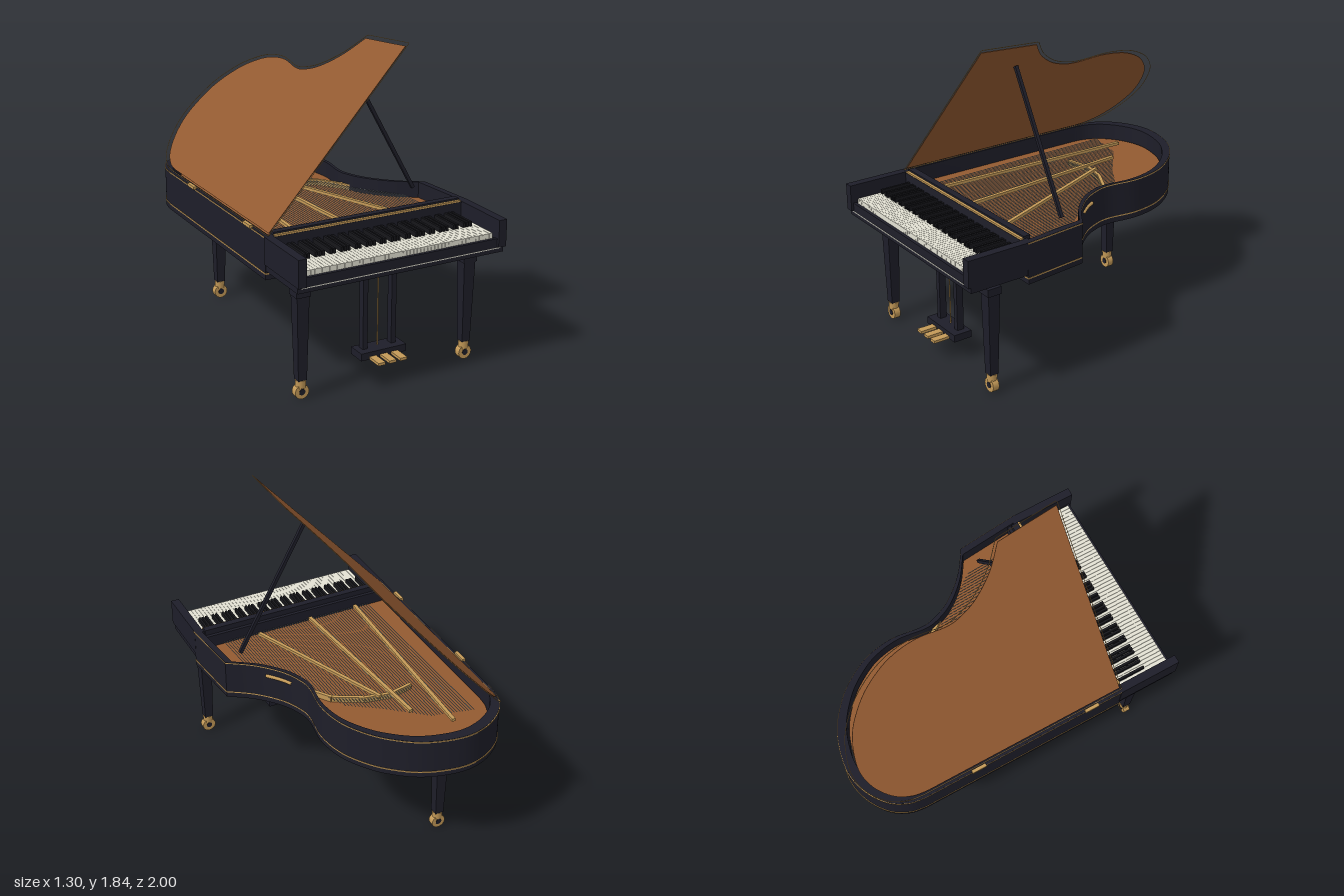
import * as THREE from 'three';
import { toCreasedNormals } from 'three/addons/utils/BufferGeometryUtils.js';

const mat = (name, color) => {
  const m = new THREE.MeshStandardMaterial({ color });
  m.name = name;
  return m;
};

export function createModel() {
  const model = new THREE.Group();
  model.name = 'grandPiano';
  const ebony = mat('blackLacquer', 0x1e1e29);
  const wood = mat('brownWood', 0x935a31);
  const brass = mat('brass', 0xc49a58);
  const ivory = mat('ivory', 0xe4e2d4);
  const blackKeyMat = mat('blackKey', 0x16161a);
  const steel = mat('steelString', 0x98a2a4);

  const add = (name, geo, material, parent = model) => {
    const m = new THREE.Mesh(geo, material);
    m.name = name;
    parent.add(m);
    return m;
  };
  // box given by its limits
  const box = (name, material, x0, x1, y0, y1, z0, z1, parent) => {
    const g = new THREE.BoxGeometry(x1 - x0, y1 - y0, z1 - z0);
    g.translate((x0 + x1) / 2, (y0 + y1) / 2, (z0 + z1) / 2);
    return add(name, g, material, parent);
  };
  // square bar between two points
  const bar = (name, material, a, b, w, h, parent) => {
    const m = add(name, new THREE.BoxGeometry(w, h, a.distanceTo(b)), material, parent);
    m.position.copy(a).add(b).multiplyScalar(0.5);
    m.lookAt(b);
    return m;
  };
  const V = (x, y, z) => new THREE.Vector3(x, y, z);

  // Plan outline of the case; shape y is -z
  const plan = new THREE.Shape();
  plan.moveTo(-0.642, -0.62);
  plan.lineTo(0.645, -0.62);
  plan.lineTo(0.607, -0.23);
  plan.splineThru([[0.465, -0.13], [0.35, 0], [0.293, 0.12], [0.278, 0.22], [0.298, 0.4],
    [0.27, 0.57], [0.2, 0.71], [0.1, 0.83], [-0.06, 0.943], [-0.27, 0.997], [-0.43, 0.97],
    [-0.56, 0.885], [-0.625, 0.78], [-0.642, 0.68]].map(p => new THREE.Vector2(...p)));
  const outline = plan.getPoints(6);
  const scaled = (s, cx, cy) => outline.map(p =>
    new THREE.Vector2(cx + (p.x - cx) * s, cy + (p.y - cy) * s));
  const slab = (shape, y0, y1) => {
    const g = new THREE.ExtrudeGeometry(shape, { depth: y1 - y0, bevelEnabled: false });
    g.rotateX(-Math.PI / 2);
    g.translate(0, y0, 0);
    return toCreasedNormals(g, 0.4);
  };
  const ring = (name, outer, hole, y0, y1, material) => {
    const shape = new THREE.Shape(outer);
    shape.holes.push(new THREE.Path(hole));
    return add(name, slab(shape, y0, y1), material);
  };

  // Case, open below the soundboard, with thin brass bands
  ring('rim', outline, scaled(0.945, -0.1, -0.1), 0.645, 0.89, ebony);
  ring('upperTrim', scaled(1.004, 0, 0), scaled(0.97, -0.1, -0.1), 0.882, 0.888, brass);
  ring('lowerTrim', scaled(1.004, 0, 0), scaled(0.97, -0.1, -0.1), 0.677, 0.684, brass);
  add('soundboard', slab(new THREE.Shape(scaled(0.938, -0.05, -0.15)), 0.76, 0.795), wood);
  box('pinBlock', ebony, -0.6, 0.6, 0.79, 0.87, 0.55, 0.6);
  box('deskShelf', ebony, -0.59, 0.59, 0.86, 0.905, 0.57, 0.612);

  // Strings, longer towards the bass side and slightly fanned
  const rear = [[-0.5, -0.74], [-0.24, -0.68], [0, -0.48], [0.15, -0.38], [0.3, -0.05], [0.49, 0.2]];
  const rearZ = x => {
    let i = 0;
    while (i < rear.length - 2 && x > rear[i + 1][0]) i++;
    const [a, b] = [rear[i], rear[i + 1]];
    return a[1] + (b[1] - a[1]) * (x - a[0]) / (b[0] - a[0]);
  };
  const strings = new THREE.Group();
  strings.name = 'strings';
  model.add(strings);
  for (let i = 0; i <= 60; i++) {
    const x = -0.48 + 0.97 * i / 60;
    bar('string', steel, V(x, 0.822, 0.53), V(x - 0.02, 0.822, rearZ(x)), 0.003, 0.003, strings);
  }

  // Plate braces and bridge
  [[-0.39, 0.52, -0.34, -0.78], [-0.08, 0.52, -0.17, -0.6], [0.27, 0.5, -0.08, -0.4]].forEach(([x0, z0, x1, z1]) =>
    bar('plateBrace', brass, V(x0, 0.832, z0), V(x1, 0.832, z1), 0.022, 0.018));
  const bridge = [[-0.3, -0.36], [-0.15, -0.39], [0, -0.36], [0.165, -0.27], [0.29, -0.09]];
  for (let i = 0; i < bridge.length - 1; i++) {
    const [a, b] = [bridge[i], bridge[i + 1]];
    bar('bridge', brass, V(a[0], 0.812, a[1]), V(b[0], 0.812, b[1]), 0.02, 0.034);
  }

  // Raised lid, hinged on the bass side, framed by a thin brass line
  const lid = new THREE.Group();
  lid.name = 'lid';
  lid.position.set(-0.624, 0.892, 0);
  lid.rotation.z = 0.838;
  model.add(lid);
  const panel = new THREE.Shape(outline.map(p => new THREE.Vector2(
    0.016 + (p.x + 0.64) * 0.962, -0.61 + (p.y + 0.62) * 0.966)));
  add('lidPanel', slab(panel, -0.002, 0.002), wood, lid);
  const framePath = new THREE.CurvePath();
  const framePts = outline.map(p => V((p.x + 0.642) * 0.992, 0, -p.y));
  framePts.forEach((p, i) => {
    const q = framePts[(i + 1) % framePts.length];
    if (p.distanceTo(q) > 1e-4) framePath.add(new THREE.LineCurve3(p, q));
  });
  add('lidTrim', new THREE.TubeGeometry(framePath, 400, 0.002, 4, true), brass, lid);
  for (const z of [-0.335, 0.41]) box('hinge', brass, -0.652, -0.632, 0.885, 0.903, z - 0.045, z + 0.045);
  bar('lidProp', ebony, V(0.063, 1.65, 0.285), V(0.487, 0.89, 0.285), 0.02, 0.02);

  // Brass handle following the curved side
  const side = outline.filter(p => p.x > 0.25 && p.y > -0.1 && p.y < 0.07);
  add('sideHandle', new THREE.TubeGeometry(new THREE.CatmullRomCurve3(
    side.map(p => V(p.x, 0.83, -p.y))), 24, 0.011, 8), brass);

  // Keyboard housing
  for (const s of [-1, 1]) {
    const [a, b] = [s * 0.595, s * 0.645].sort((p, q) => p - q);
    box('keyboardArm', ebony, a, b, 0.732, 0.89, 0.61, 1.0);
  }
  box('keyBed', ebony, -0.64, 0.64, 0.697, 0.735, 0.6, 0.982);
  box('keySlip', ebony, -0.6, 0.6, 0.73, 0.78, 0.966, 0.985);
  box('keySlipLine', ivory, -0.62, 0.62, 0.721, 0.726, 0.98, 0.984);
  box('keyFrame', blackKeyMat, -0.6, 0.6, 0.73, 0.775, 0.61, 0.967);
  box('fallboard', ebony, -0.6, 0.6, 0.735, 0.885, 0.6, 0.63);
  box('fallboardTrim', brass, -0.59, 0.59, 0.885, 0.895, 0.61, 0.628);

  // 52 white keys and 36 black keys, starting on A
  const keys = new THREE.Group();
  keys.name = 'keys';
  model.add(keys);
  const pitch = 1.154 / 52;
  for (let i = 0; i < 52; i++) {
    const x = -0.577 + i * pitch;
    box('whiteKey', ivory, x + 0.0007, x + pitch - 0.0007, 0.77, 0.81, 0.63, 0.965, keys);
    if (i < 51 && [0, 2, 3, 5, 6].includes(i % 7))
      box('blackKey', blackKeyMat, x + pitch - 0.007, x + pitch + 0.007, 0.805, 0.838, 0.63, 0.82, keys);
  }

  // Square tapered legs with brass casters
  for (const [x, z] of [[-0.525, 0.79], [0.53, 0.79], [-0.32, -0.69]]) {
    const leg = new THREE.Group();
    leg.name = 'leg';
    leg.position.set(x, 0, z);
    model.add(leg);
    const post = (name, halfTop, halfBottom, y0, y1) => {
      const g = new THREE.CylinderGeometry(halfTop * Math.SQRT2, halfBottom * Math.SQRT2, y1 - y0, 4).toNonIndexed();
      g.rotateY(Math.PI / 4);
      g.computeVertexNormals();
      g.translate(0, (y0 + y1) / 2, 0);
      add(name, g, ebony, leg);
    };
    post('legCap', 0.043, 0.043, 0.6, 0.645);
    post('legPost', 0.037, 0.026, 0.11, 0.6);
    const ferrule = add('ferrule', new THREE.CylinderGeometry(0.031, 0.028, 0.047, 20), brass, leg);
    ferrule.position.y = 0.088;
    const disc = (name, r, w, m) => {
      const g = new THREE.CylinderGeometry(r, r, w, 24);
      g.rotateX(Math.PI / 2);
      g.translate(0, 0.042, 0);
      add(name, g, m, leg);
    };
    disc('casterWheel', 0.042, 0.04, brass);
    disc('casterHub', 0.018, 0.046, ebony);
  }

  // Pedal lyre
  const lyre = new THREE.Group();
  lyre.name = 'pedalLyre';
  model.add(lyre);
  box('pedalBox', ebony, -0.143, 0.146, 0.125, 0.168, 0.67, 0.785, lyre);
  for (const s of [-1, 1]) box('lyrePost', ebony, s * 0.091 - 0.015, s * 0.091 + 0.015, 0.165, 0.625, 0.695, 0.738, lyre);
  for (const x of [-0.07, 0, 0.07])
    box('pedal', brass, x - 0.022, x + 0.022, 0.126, 0.142, 0.76, 0.885, lyre);
  const rod = add('pedalRod', new THREE.CylinderGeometry(0.004, 0.004, 0.475, 8), brass, lyre);
  rod.position.set(0, 0.4, 0.716);
  return model;
}
